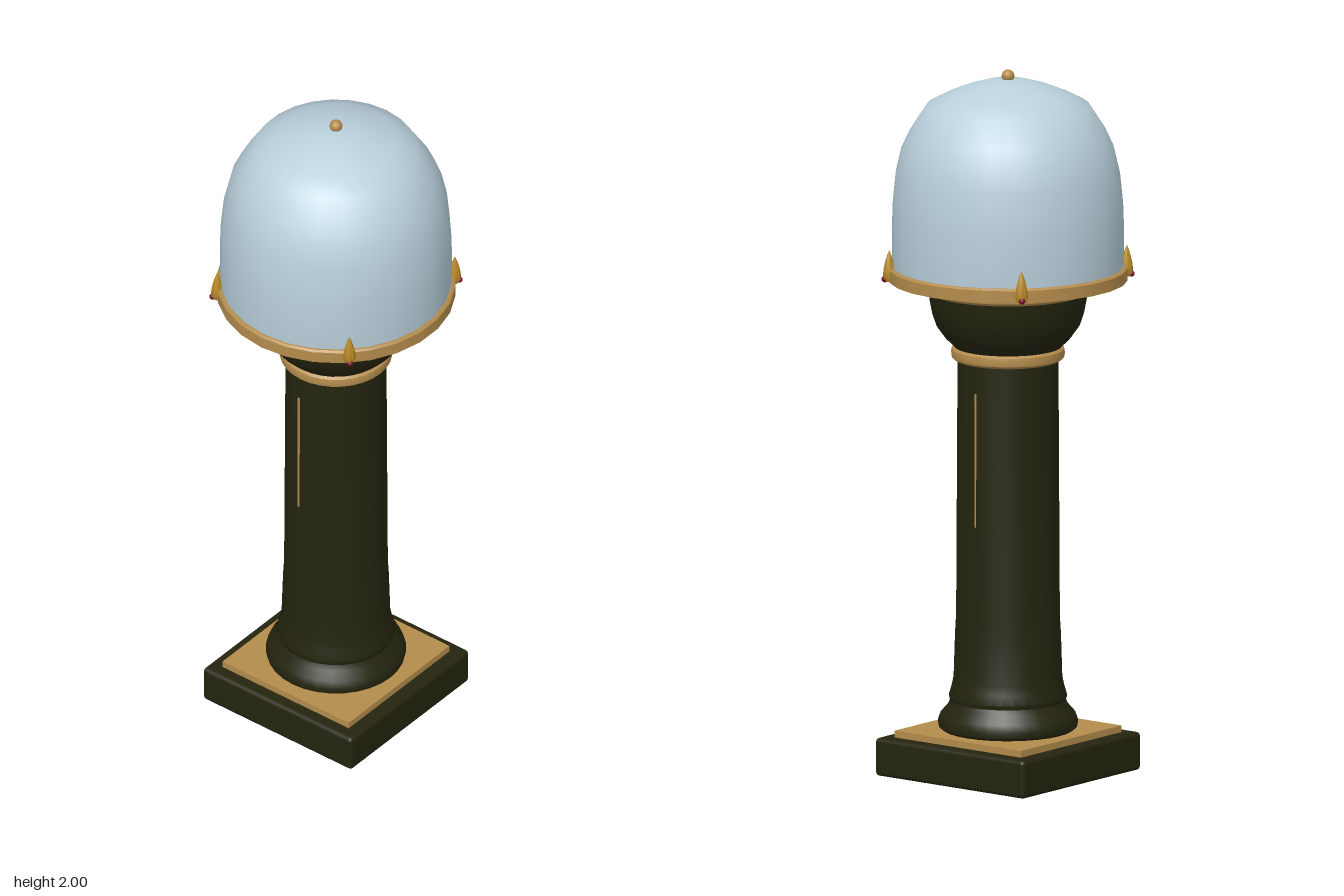
import * as THREE from 'three';
import { toCreasedNormals } from 'three/addons/utils/BufferGeometryUtils.js';
import { RoundedBoxGeometry } from 'three/addons/geometries/RoundedBoxGeometry.js';

const material = (name, color, side = THREE.FrontSide) => {
  const m = new THREE.MeshStandardMaterial({ color, side });
  m.name = name;
  return m;
};

export function createModel() {
  const group = new THREE.Group();
  const dark = material('dark olive', 0x24240f);
  const brass = material('brass', 0xb48c4c);
  const gold = material('bright gold', 0xb88a26);
  const glass = material('pale glass', 0xb9d0dc, THREE.DoubleSide);
  const red = material('crimson', 0x800f2a);

  const add = (name, geometry, mat, y = 0, parent = group) => {
    const mesh = new THREE.Mesh(geometry, mat);
    mesh.name = name;
    mesh.position.y = y;
    parent.add(mesh);
    return mesh;
  };
  // Turned parts: profile listed from bottom to top as [radius, height]
  const turned = (profile, segments, crease = 0.6) => toCreasedNormals(
    new THREE.LatheGeometry(profile.map(p => new THREE.Vector2(...p)), segments, Math.PI / 2), crease);

  // Square plinth and its brass top plate
  add('plinth', new RoundedBoxGeometry(0.53, 0.108, 0.53, 2, 0.012), dark, 0.054);
  add('plinthPlate', new THREE.BoxGeometry(0.45, 0.02, 0.45), brass, 0.117);

  // Column with moulded foot
  add('column', turned([
    [0, 0.125], [0.18, 0.125], [0.193, 0.135], [0.196, 0.15], [0.188, 0.172], [0.168, 0.195],
    [0.161, 0.21], [0.165, 0.222], [0.157, 0.25], [0.152, 0.275], [0.148, 0.4],
    [0.145, 0.45], [0.141, 1.19], [0, 1.19],
  ], 32), dark);

  // Fine upright inlays on the sides of the shaft
  for (const angle of [89, 262]) {
    const a = THREE.MathUtils.degToRad(angle);
    const inlay = add('shaftInlay', new THREE.BoxGeometry(0.006, 0.38, 0.006), brass, 0.91);
    inlay.position.x = Math.sin(a) * 0.141;
    inlay.position.z = Math.cos(a) * 0.141;
    inlay.rotation.y = a;
  }

  // Neck ring, bowl capital and rim
  add('neckRing', turned([
    [0, 1.178], [0.148, 1.178], [0.157, 1.185], [0.159, 1.197], [0.157, 1.209], [0.148, 1.216], [0, 1.216],
  ], 32), brass);
  add('capital', turned([
    [0, 1.21], [0.145, 1.21], [0.175, 1.24], [0.2, 1.275], [0.212, 1.31], [0.22, 1.35], [0.224, 1.385], [0, 1.385],
  ], 32), dark);
  add('capitalRim', turned([
    [0, 1.372], [0.224, 1.372], [0.232, 1.379], [0.234, 1.387], [0.232, 1.395], [0.224, 1.402], [0, 1.402],
  ], 32), brass);

  // Cushion inside the dome
  const cushion = add('cushion', new THREE.SphereGeometry(0.28, 32, 12), red, 1.443);
  cushion.scale.y = 0.15;

  // Glass dome, brass hoop and finial
  add('dome', turned([
    [0.32, 1.41], [0.324, 1.46], [0.323, 1.6], [0.321, 1.63], [0.313, 1.71], [0.298, 1.775], [0.275, 1.825],
    [0.227, 1.9], [0.176, 1.927], [0.12, 1.95], [0.06, 1.968], [0.0001, 1.975],
  ], 26, 1), glass);
  add('domeHoop', turned([
    [0.308, 1.404], [0.334, 1.404], [0.334, 1.438], [0.328, 1.443], [0.308, 1.443], [0.308, 1.404],
  ], 26), brass);
  add('finial', new THREE.SphereGeometry(0.018, 16, 12), brass, 1.982);

  // Four pointed clips on the diagonals, each with a small red stone
  for (let i = 0; i < 4; i++) {
    const clip = new THREE.Group();
    clip.name = 'domeClip';
    clip.rotation.y = Math.PI / 4 + i * Math.PI / 2;
    const spike = add('clipSpike', turned([
      [0, 1.404], [0.012, 1.406], [0.018, 1.42], [0.016, 1.44], [0.012, 1.46], [0.006, 1.48], [0, 1.495],
    ], 8), gold, 0, clip);
    spike.position.z = 0.333;
    const stone = add('clipStone', new THREE.SphereGeometry(0.009, 10, 8), red, 1.412, clip);
    stone.position.z = 0.346;
    group.add(clip);
  }
  return group;
}
